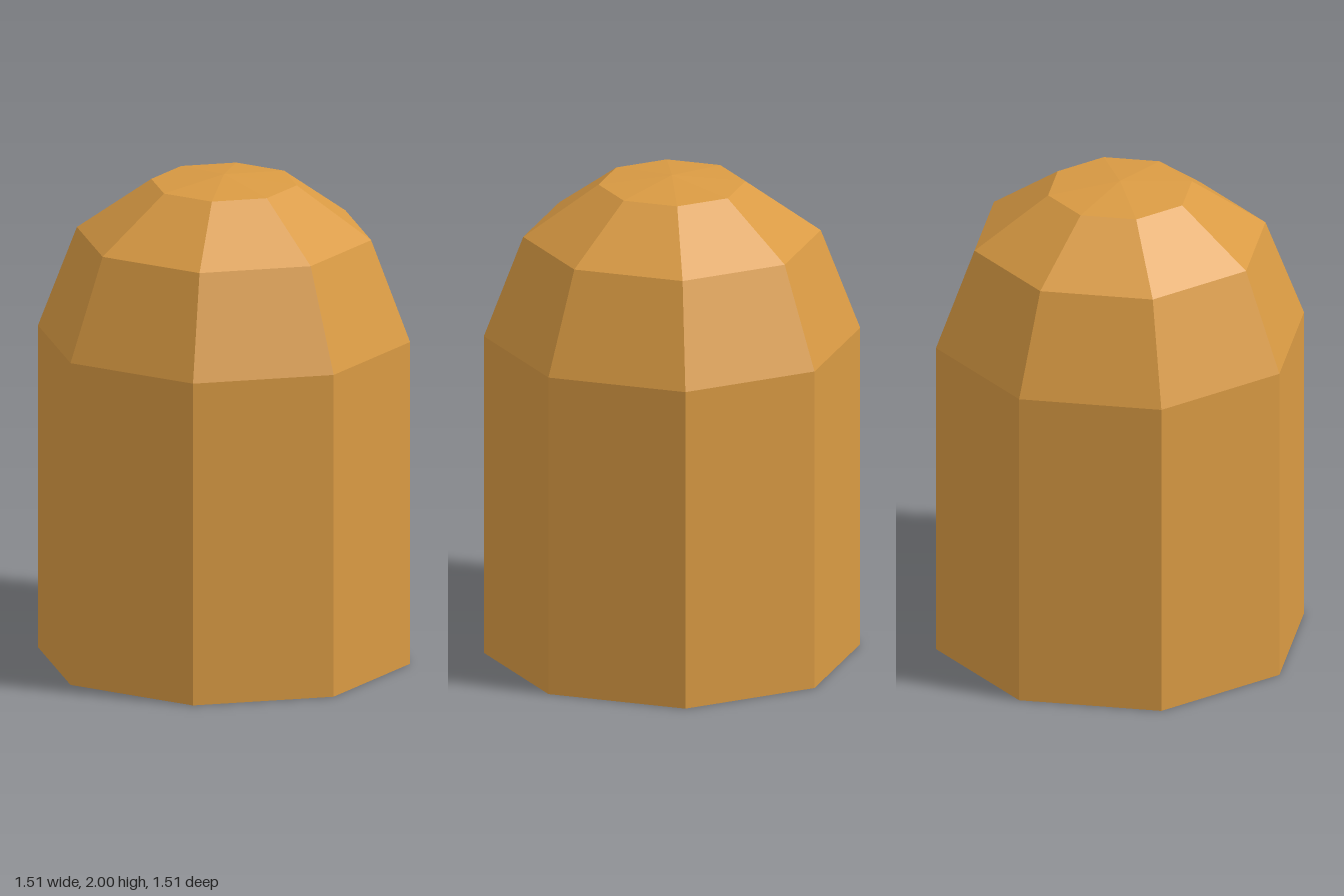
import * as THREE from 'three';

const SIDES = 8;

// Faceted solid of revolution from [radius, height] pairs, bottom to top
function facetedLathe(profile) {
  const points = profile.map(([r, y]) => new THREE.Vector2(r, y));
  const geometry = new THREE.LatheGeometry(points, SIDES).toNonIndexed();
  geometry.computeVertexNormals();
  return geometry;
}

export function createModel() {
  const model = new THREE.Group();
  model.name = 'domedPost';

  const ochre = new THREE.MeshStandardMaterial({ color: 0xd99a43 });
  ochre.name = 'ochre';

  const addPart = (name, profile) => {
    const mesh = new THREE.Mesh(facetedLathe(profile), ochre);
    mesh.name = name;
    model.add(mesh);
  };

  // Straight octagonal body with a closed base
  addPart('body', [[0, 0], [0.755, 0], [0.755, 1.337]]);

  // Stepped dome closing to a shallow point
  addPart('dome', [[0.755, 1.337], [0.597, 1.753], [0.295, 1.967], [0, 2]]);

  return model;
}
